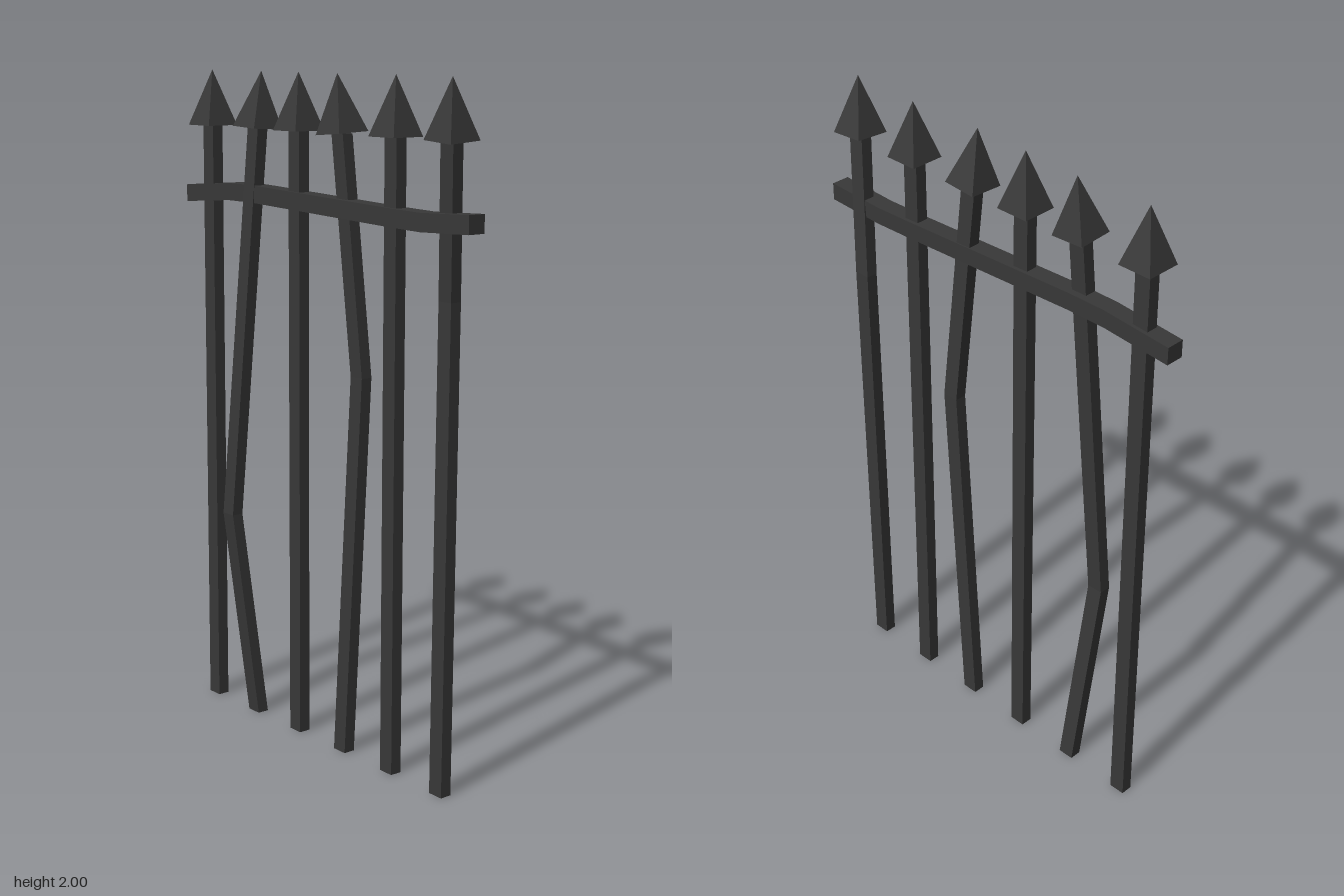
import * as THREE from 'three';

const Z = -0.017; // depth line of the fence

// Box-section bar through a list of points; u and v are the half-size axes with u x v opposite to the run
function sweptBar(points, u, v) {
  const pos = [], idx = [];
  for (const p of points) {
    for (const [a, b] of [[1, 1], [1, -1], [-1, -1], [-1, 1]]) {
      pos.push(p[0] + a * u[0] + b * v[0], p[1] + a * u[1] + b * v[1], p[2] + a * u[2] + b * v[2]);
    }
  }
  for (let r = 0; r < points.length - 1; r++) {
    for (let i = 0; i < 4; i++) {
      const a = r * 4 + i, b = r * 4 + (i + 1) % 4;
      idx.push(a, b, b + 4, a, b + 4, a + 4);
    }
  }
  const e = (points.length - 1) * 4;
  idx.push(0, 2, 1, 0, 3, 2, e, e + 1, e + 2, e, e + 2, e + 3); // end caps
  const geo = new THREE.BufferGeometry();
  geo.setAttribute('position', new THREE.Float32BufferAttribute(pos, 3));
  geo.setIndex(idx);
  return faceted(geo);
}

function faceted(geo) {
  const flat = geo.toNonIndexed();
  flat.computeVertexNormals();
  return flat;
}

export function createModel() {
  const group = new THREE.Group();
  group.name = 'ironFence';
  const iron = new THREE.MeshStandardMaterial({ color: 0x383838 });
  iron.name = 'darkIron';

  const add = (name, geo) => {
    const mesh = new THREE.Mesh(geo, iron);
    mesh.name = name;
    group.add(mesh);
    return mesh;
  };

  // Pickets: straight ones have two points, bent ones three
  const top = 1.833;
  const pickets = [
    [[-0.537, 0, Z], [-0.537, top, Z]],
    [[-0.323, 0, Z], [-0.358, 0.65, 0.051], [-0.308, top, Z]],
    [[-0.11, 0, Z], [-0.11, top, Z]],
    [[0.105, 0, Z], [0.142, 1.14, -0.046], [0.088, top, Z]],
    [[0.318, 0, Z], [0.318, top, Z]],
    [[0.532, 0, Z], [0.512, 1.4, -0.046], [0.543, top, Z]],
  ];

  // Four-sided spear head, base at its origin
  const headGeo = faceted(new THREE.ConeGeometry(0.053 * Math.SQRT2, 0.167, 4, 1).rotateY(Math.PI / 4).translate(0, 0.0835, 0));
  const up = new THREE.Vector3(0, 1, 0);

  pickets.forEach((path, i) => {
    add('picket' + (i + 1), sweptBar(path, [0.025, 0, 0], [0, 0, 0.018]));
    const end = new THREE.Vector3(...path[path.length - 1]);
    const dir = end.clone().sub(new THREE.Vector3(...path[path.length - 2])).normalize();
    const head = add('spearHead' + (i + 1), headGeo);
    head.position.copy(end);
    head.quaternion.setFromUnitVectors(up, dir);
  });

  // Slightly wavy top rail
  const rail = [[-0.642, 1.62], [-0.42, 1.638], [-0.3, 1.638], [0.33, 1.615], [0.45, 1.612], [0.642, 1.62]];
  add('topRail', sweptBar(rail.map(([x, y]) => [x, y, Z - 0.001]), [0, 0, 0.028], [0, 0.026, 0]));

  return group;
}
